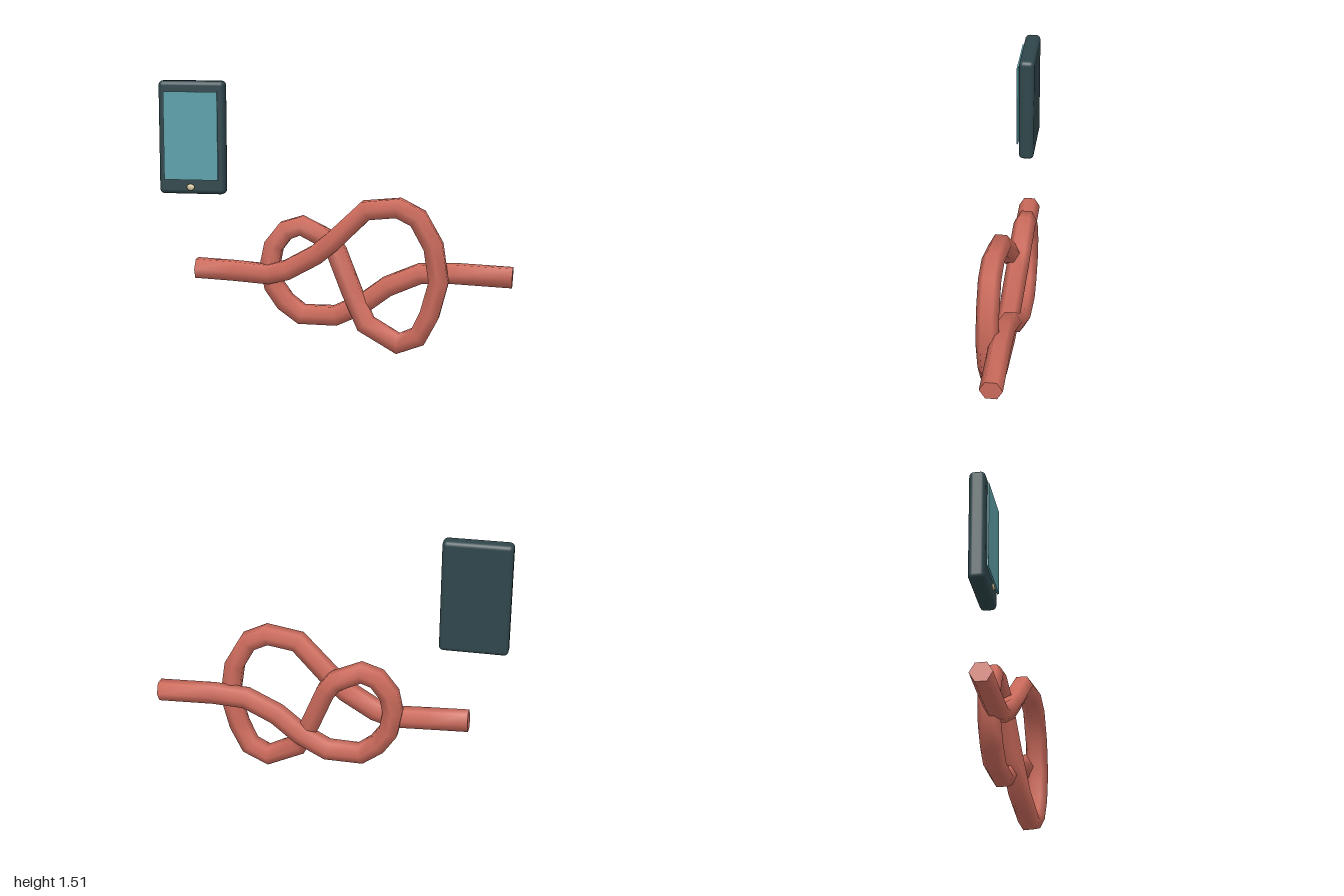
import * as THREE from 'three';
import { RoundedBoxGeometry } from 'three/addons/geometries/RoundedBoxGeometry.js';

const makeMaterial = (name, color) => {
  const m = new THREE.MeshStandardMaterial({ color });
  m.name = name;
  return m;
};

// Centre line of the rope, from its left-hand end to its right-hand end
const PATH = [
  [-0.8, 0.445, -0.025], [-0.58, 0.435, -0.025], [-0.38, 0.422, -0.02], [-0.27, 0.45, -0.015],
  [-0.1, 0.545, -0.005], [0, 0.63, 0.005], [0.187, 0.81, 0.03],
  // large front loop
  [0.37, 0.83, 0.047], [0.48, 0.775, 0.052], [0.567, 0.62, 0.053], [0.597, 0.42, 0.053],
  [0.548, 0.235, 0.052], [0.484, 0.107, 0.047], [0.37, 0.06, 0.036], [0.185, 0.16, 0.012],
  [0.1, 0.34, -0.016], [0.01, 0.555, -0.045], [-0.04, 0.625, -0.052],
  // small rear loop
  [-0.195, 0.7, -0.06], [-0.285, 0.67, -0.06], [-0.355, 0.58, -0.06], [-0.377, 0.475, -0.06],
  [-0.355, 0.35, -0.06], [-0.29, 0.257, -0.06], [-0.195, 0.187, -0.06], [0, 0.187, -0.055],
  [0.157, 0.262, -0.045], [0.3, 0.37, -0.035], [0.483, 0.45, -0.025], [0.675, 0.458, -0.022],
  [1, 0.445, -0.02],
].map((p) => new THREE.Vector3(...p));

// Six-sided tube through the path, one ring per point, with flat ends
function ropeGeometry(path, radius, sides) {
  const pos = [], index = [], last = path.length - 1;
  const zAxis = new THREE.Vector3(0, 0, 1);
  const rings = path.map((p, i) => {
    const a = path[Math.max(i - 1, 0)], b = path[Math.min(i + 1, last)];
    const into = p.clone().sub(a).normalize(), out = b.clone().sub(p).normalize();
    const t = into.add(out).normalize();
    const side = new THREE.Vector3().crossVectors(zAxis, t).normalize();
    const depth = new THREE.Vector3().crossVectors(t, side);
    return Array.from({ length: sides }, (_, k) => {
      const ang = (k / sides) * Math.PI * 2;
      return p.clone().addScaledVector(depth, Math.cos(ang) * radius)
        .addScaledVector(side, -Math.sin(ang) * radius);
    });
  });
  rings.forEach((ring) => ring.forEach((v) => pos.push(v.x, v.y, v.z)));
  for (let i = 0; i < last; i++) {
    for (let k = 0; k < sides; k++) {
      const n = (k + 1) % sides;
      const a = i * sides + k, b = i * sides + n, c = a + sides, d = b + sides;
      index.push(a, b, c, b, d, c);
    }
  }
  // end caps use their own vertices so their rims stay sharp
  [0, last].forEach((i) => {
    const base = pos.length / 3;
    rings[i].forEach((v) => pos.push(v.x, v.y, v.z));
    for (let k = 1; k < sides - 1; k++) {
      if (i === 0) index.push(base, base + k + 1, base + k);
      else index.push(base, base + k, base + k + 1);
    }
  });
  const g = new THREE.BufferGeometry();
  g.setAttribute('position', new THREE.Float32BufferAttribute(pos, 3));
  // make sure the walls face outwards
  const [A, B, C] = [0, 1, 2].map((j) => new THREE.Vector3().fromArray(pos, index[j] * 3));
  const normal = B.clone().sub(A).cross(C.sub(A));
  if (normal.dot(A.clone().add(B).multiplyScalar(0.5).sub(path[0])) < 0) {
    for (let j = 0; j < index.length; j += 3) [index[j + 1], index[j + 2]] = [index[j + 2], index[j + 1]];
  }
  g.setIndex(index);
  g.computeVertexNormals();
  return g;
}

export function createModel() {
  const model = new THREE.Group();
  model.name = 'knotAndTablet';

  const red = makeMaterial('rope red', 0xcc6b5c);
  const slate = makeMaterial('case slate', 0x2f464b);
  const teal = makeMaterial('screen teal', 0x5ca0aa);
  const cream = makeMaterial('button cream', 0xd6c8a2);

  const add = (parent, name, geometry, material, x = 0, y = 0, z = 0) => {
    const mesh = new THREE.Mesh(geometry, material);
    mesh.name = name;
    mesh.position.set(x, y, z);
    parent.add(mesh);
    return mesh;
  };

  add(model, 'knottedRope', ropeGeometry(PATH, 0.063, 6), red);

  // Tablet: rounded case, thin screen and a small round button
  const tablet = new THREE.Group();
  tablet.name = 'tablet';
  tablet.position.set(-0.81, 1.195, -0.019);
  model.add(tablet);
  add(tablet, 'case', new RoundedBoxGeometry(0.38, 0.64, 0.088, 3, 0.026), slate);
  add(tablet, 'screen', new THREE.BoxGeometry(0.31, 0.497, 0.009), teal, 0, 0.012, 0.055);
  const button = add(tablet, 'button', new THREE.SphereGeometry(0.023, 12, 8), cream, -0.003, -0.278, 0.057);
  button.scale.set(1, 0.8, 0.35);

  return model;
}
